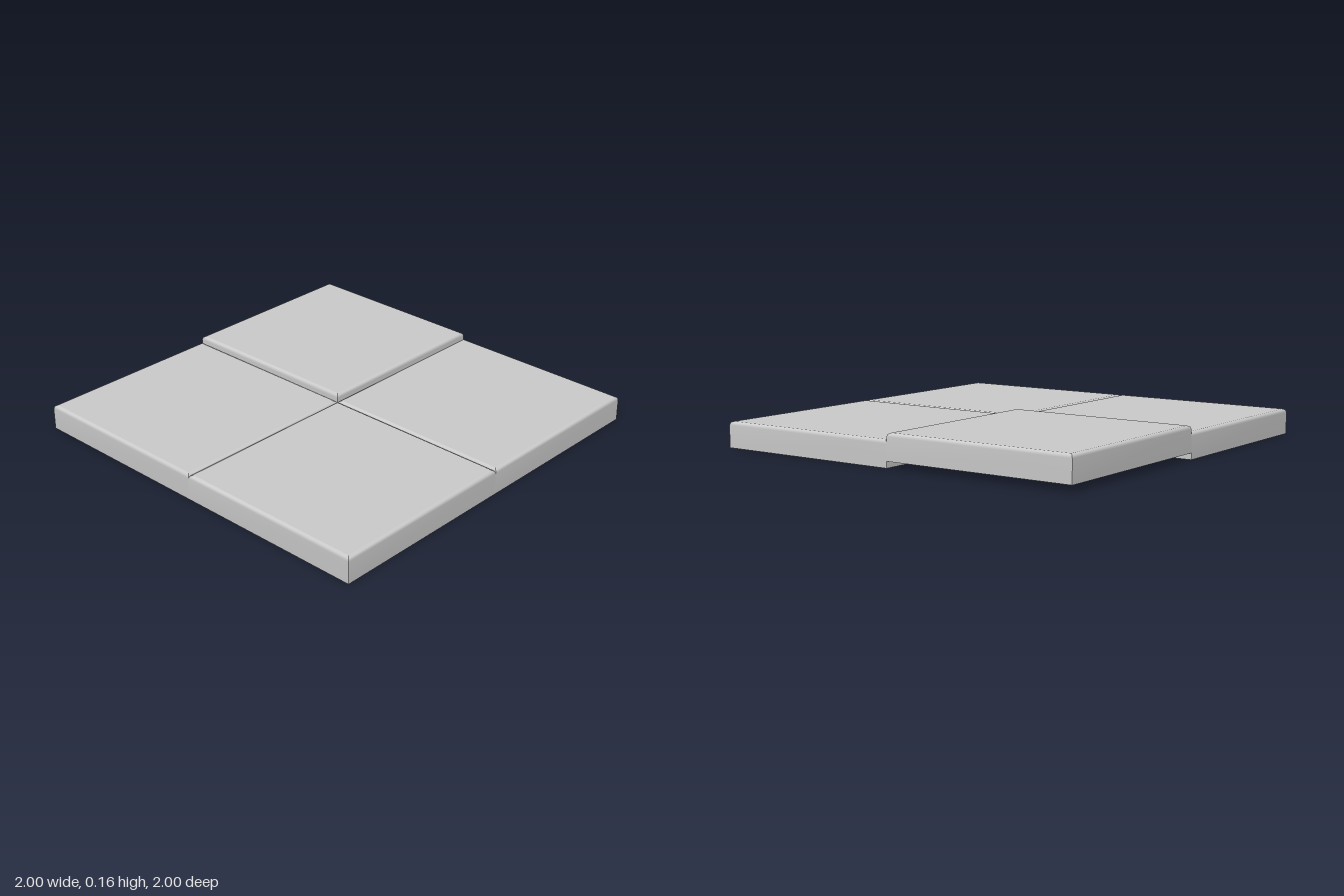
import * as THREE from 'three';
import { mergeGeometries } from 'three/addons/utils/BufferGeometryUtils.js';

const HEIGHT = 0.13;
const HALF = 0.5;
// Edge section: [inset from the side, height]
const SECTION = [[0, 0], [0, 0.112], [0.005, 0.125], [0.017, HEIGHT]];

// One side wall with its softened upper edge, mitred at both ends
function sideStrip() {
  const positions = [], index = [];
  SECTION.forEach(([inset, y], i) => {
    const r = HALF - inset;
    positions.push(-r, y, r, r, y, r);
    if (i > 0) {
      const a = 2 * (i - 1);
      index.push(a, a + 1, a + 3, a, a + 3, a + 2);
    }
  });
  const g = new THREE.BufferGeometry();
  g.setAttribute('position', new THREE.Float32BufferAttribute(positions, 3));
  g.setIndex(index);
  g.computeVertexNormals();
  return g;
}

function flatFace(size, y, up) {
  const g = new THREE.PlaneGeometry(size, size);
  g.rotateX(up ? -Math.PI / 2 : Math.PI / 2).translate(0, y, 0);
  g.deleteAttribute('uv');
  return g;
}

function tileGeometry() {
  const topSize = 2 * (HALF - SECTION[SECTION.length - 1][0]);
  const parts = [flatFace(topSize, HEIGHT, true), flatFace(2 * HALF, 0, false)];
  for (let i = 0; i < 4; i++) parts.push(sideStrip().rotateY(i * Math.PI / 2));
  return mergeGeometries(parts);
}

export function createModel() {
  const group = new THREE.Group();
  group.name = 'floorTiles';
  const material = new THREE.MeshStandardMaterial({ color: 0xcccccc });
  const geometry = tileGeometry();

  // Two by two tiles, the back right one lifted
  const tiles = [
    ['frontLeftTile', 0.5, 0, 0.5],
    ['frontRightTile', -0.5, 0, 0.5],
    ['backLeftTile', 0.5, 0, -0.5],
    ['raisedBackRightTile', -0.5, 0.032, -0.5],
  ];
  for (const [name, x, y, z] of tiles) {
    const tile = new THREE.Mesh(geometry, material);
    tile.name = name;
    tile.position.set(x, y, z);
    group.add(tile);
  }
  return group;
}
